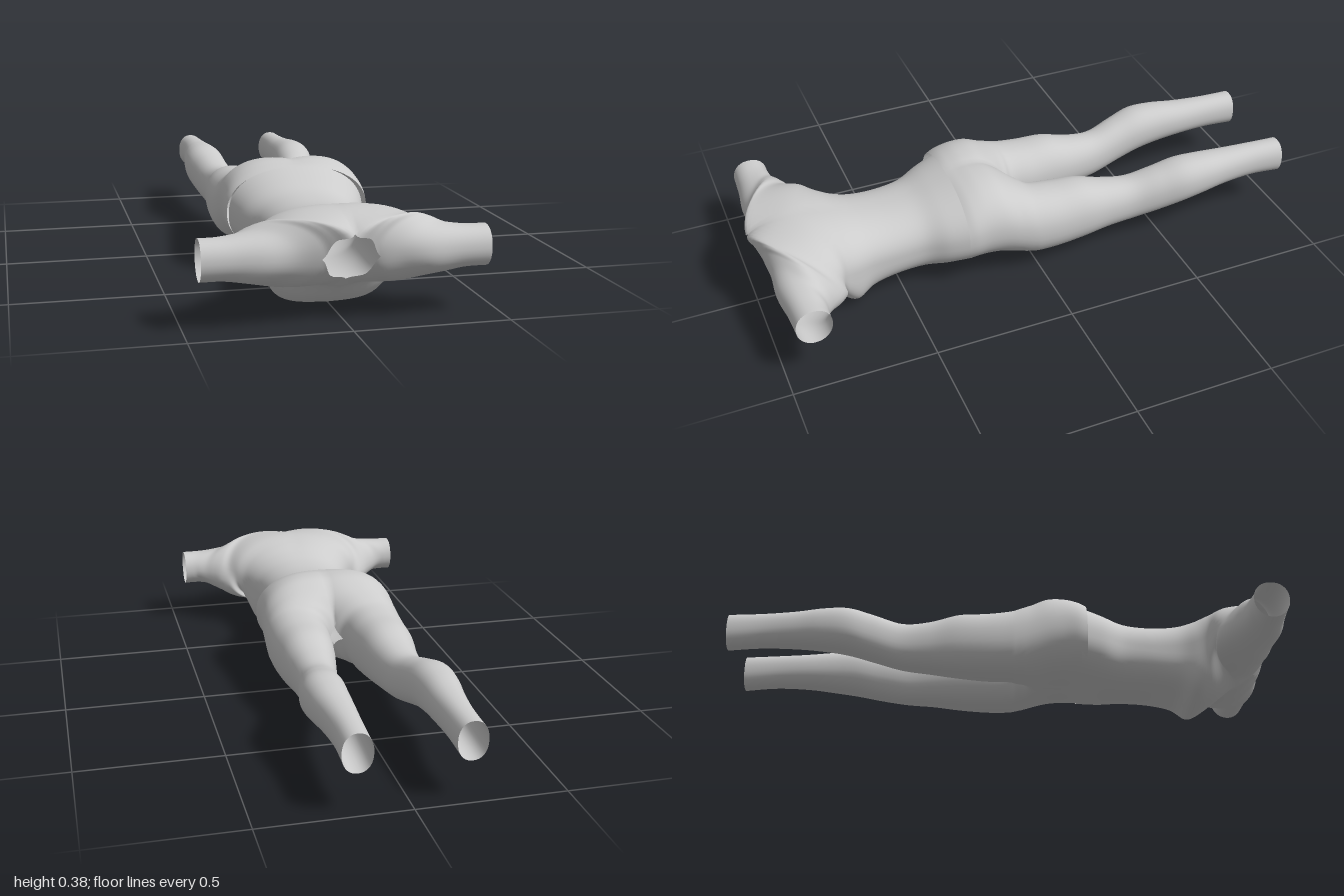
import * as THREE from 'three';
import { mergeVertices, mergeGeometries } from 'three/addons/utils/BufferGeometryUtils.js';

const RING = 36, STEPS = 6;
const power = (v, e) => Math.sign(v) * Math.abs(v) ** e;

// Smooth in-between of the stations, column by column
function sample(stations, t) {
  const last = stations.length - 1;
  const i = Math.min(Math.floor(t), last - 1), f = t - i;
  const at = (k) => stations[Math.max(0, Math.min(last, k))];
  return at(i).map((b, k) => {
    const c = at(i + 1)[k], m0 = (c - at(i - 1)[k]) / 2, m1 = (at(i + 2)[k] - b) / 2;
    const f2 = f * f, f3 = f2 * f;
    return b * (2 * f3 - 3 * f2 + 1) + m0 * (f3 - 2 * f2 + f) + c * (3 * f2 - 2 * f3) + m1 * (f3 - f2);
  });
}

// One half of a garment. Each section is an arc from the inner edge over the
// outer edge and back: 90 degrees stops at the midline, 180 closes into a limb.
function halfGarment(stations, side) {
  const rows = (stations.length - 1) * STEPS, pos = [], index = [];
  for (let i = 0; i <= rows; i++) {
    const [ix, iz, ox, oz, mid, top, bottom, open, e, tilt] = sample(stations, i / STEPS);
    const A = THREE.MathUtils.degToRad(THREE.MathUtils.clamp(open, 90, 180));
    for (let j = 0; j <= RING; j++) {
      const th = A * (1 - 2 * j / RING), upper = th >= 0;
      const ex = upper ? 0.9 : e;
      const s = power(Math.sin(th), ex);
      const u = (1 - power(Math.cos(th), ex)) / (1 - power(Math.cos(A), ex));
      const x = ox + (ix - ox) * u;
      pos.push(side * (x < 1e-3 ? 0 : x),
        mid + s * (upper ? top - mid : mid - bottom),
        oz + (iz - oz) * u + tilt * s);
    }
  }
  const w = RING + 1;
  for (let i = 0; i < rows; i++) for (let j = 0; j < RING; j++) {
    const a = i * w + j, b = a + w, c = a + 1, d = b + 1;
    if (side > 0) index.push(a, b, c, b, d, c);
    else index.push(a, c, b, b, c, d);
  }
  const g = new THREE.BufferGeometry();
  g.setAttribute('position', new THREE.Float32BufferAttribute(pos, 3));
  g.setIndex(index);
  return g;
}

function garment(name, stations, material) {
  const both = mergeGeometries([halfGarment(stations, 1), halfGarment(stations, -1)]);
  const g = mergeVertices(both, 1e-4);
  g.computeVertexNormals();
  const mesh = new THREE.Mesh(g, material);
  mesh.name = name;
  return mesh;
}

// Columns: inner x, inner z, outer x, outer z, middle y, top y, bottom y,
// arc angle, lower squareness, forward tilt
const SHIRT = [
  // hem, waist and chest
  [0, 0.26, 0.24, 0.26, 0.21, 0.372, 0.07, 90, 0.8, 0],
  [0, 0.34, 0.215, 0.34, 0.2, 0.342, 0.06, 90, 0.8, 0],
  [0, 0.42, 0.18, 0.42, 0.19, 0.314, 0.058, 90, 0.75, 0],
  [0, 0.52, 0.174, 0.52, 0.18, 0.303, 0.054, 90, 0.7, 0],
  [0, 0.61, 0.18, 0.61, 0.18, 0.307, 0.04, 90, 0.6, 0],
  [0, 0.68, 0.2, 0.67, 0.185, 0.322, 0.008, 90, 0.55, 0],
  [0, 0.76, 0.22, 0.71, 0.2, 0.345, 0.04, 90, 0.65, 0],
  [0, 0.85, 0.25, 0.735, 0.22, 0.358, 0.1, 95, 0.8, 0.01],
  // neck opening
  [0, 0.95, 0.28, 0.755, 0.222, 0.345, 0.105, 140, 0.9, 0.07],
  [0.055, 0.958, 0.31, 0.775, 0.222, 0.342, 0.107, 152, 0.9, 0.055],
  [0.09, 0.965, 0.34, 0.8, 0.224, 0.328, 0.118, 180, 0.9, 0.03],
  // sleeve
  [0.16, 0.963, 0.37, 0.82, 0.224, 0.308, 0.133, 180, 0.95, 0.015],
  [0.25, 0.97, 0.4, 0.83, 0.225, 0.297, 0.15, 180, 1, 0],
  [0.35, 0.96, 0.425, 0.832, 0.225, 0.291, 0.159, 180, 1, 0],
  [0.45, 0.955, 0.45, 0.832, 0.225, 0.291, 0.159, 180, 1, 0],
];

// Straight sections along the leg: z, inner x, outer x, top y, bottom y, arc angle
const TROUSERS = [
  [-1, 0.13, 0.23, 0.283, 0.152, 180],
  [-0.88, 0.127, 0.23, 0.288, 0.162, 180],
  [-0.76, 0.12, 0.242, 0.295, 0.16, 180],
  [-0.66, 0.115, 0.257, 0.305, 0.15, 180],
  [-0.57, 0.108, 0.262, 0.306, 0.136, 180],
  [-0.48, 0.102, 0.247, 0.284, 0.113, 180],
  [-0.38, 0.087, 0.229, 0.259, 0.09, 180],
  [-0.28, 0.067, 0.233, 0.27, 0.08, 180],
  [-0.18, 0.048, 0.248, 0.297, 0.068, 180],
  [-0.08, 0.034, 0.256, 0.302, 0.06, 180],
  [0, 0.026, 0.259, 0.312, 0.06, 180],
  [0.035, 0, 0.259, 0.326, 0.062, 165],
  [0.08, 0, 0.257, 0.35, 0.067, 128],
  [0.14, 0, 0.255, 0.382, 0.077, 113],
  [0.2, 0, 0.253, 0.388, 0.08, 106],
  [0.25, 0, 0.254, 0.38, 0.075, 98],
  [0.28, 0, 0.25, 0.372, 0.066, 90],
].map(([z, ix, ox, top, bottom, arc]) =>
  [ix, z, ox, z, (top + bottom) / 2, top, bottom, arc, 0.9, 0]);

export function createModel() {
  const group = new THREE.Group();
  group.name = 'outfit';
  const material = new THREE.MeshStandardMaterial({ color: 0xcccccc, side: THREE.DoubleSide });
  group.add(garment('shirt', SHIRT, material), garment('trousers', TROUSERS, material));
  return group;
}
